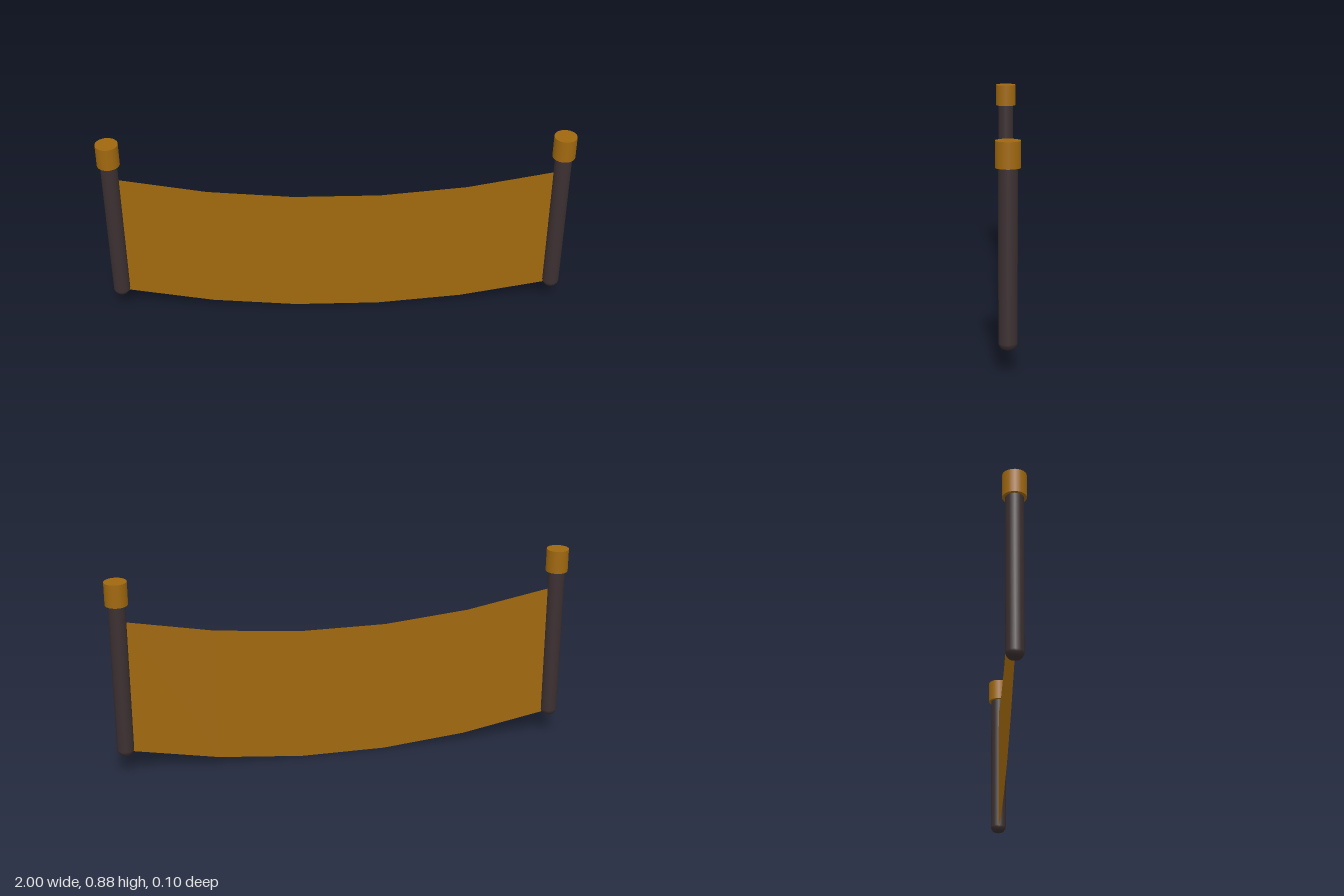
import * as THREE from 'three';

const POST_X = 0.952;

export function createModel() {
  const model = new THREE.Group();
  const wood = new THREE.MeshStandardMaterial({ color: 0x3c3031 });
  const gold = new THREE.MeshStandardMaterial({ color: 0xa0680e });
  const fabric = new THREE.MeshStandardMaterial({ color: 0xa0680e, side: THREE.DoubleSide });

  const add = (name, geometry, material, x = 0, y = 0) => {
    const mesh = new THREE.Mesh(geometry, material);
    mesh.name = name;
    mesh.position.set(x, y, 0);
    model.add(mesh);
  };

  // Posts with a rounded foot, each topped by a wider cylindrical cap
  const postProfile = [[0, 0.09], [0.014, 0.092], [0.026, 0.097], [0.034, 0.109], [0.036, 0.118], [0.036, 0.79]]
    .map(([r, y]) => new THREE.Vector2(r, y));
  const postGeometry = new THREE.LatheGeometry(postProfile, 20);
  const capGeometry = new THREE.CylinderGeometry(0.048, 0.048, 0.1, 24);
  for (const [side, sign] of [['left', 1], ['right', -1]]) {
    add(`${side}Post`, postGeometry, wood, sign * POST_X);
    add(`${side}Cap`, capGeometry, gold, sign * POST_X, 0.828);
  }

  // Flat sheet hung between the posts, sagging along a parabola in five segments
  const sheet = new THREE.PlaneGeometry(1.84, 0.593, 5, 1);
  const p = sheet.attributes.position;
  for (let i = 0; i < p.count; i++) {
    const x = p.getX(i);
    p.setY(i, p.getY(i) + 0.2965 + 0.128 * (x * x - 0.184 ** 2));
  }
  sheet.computeVertexNormals();
  add('banner', sheet, fabric);

  return model;
}
